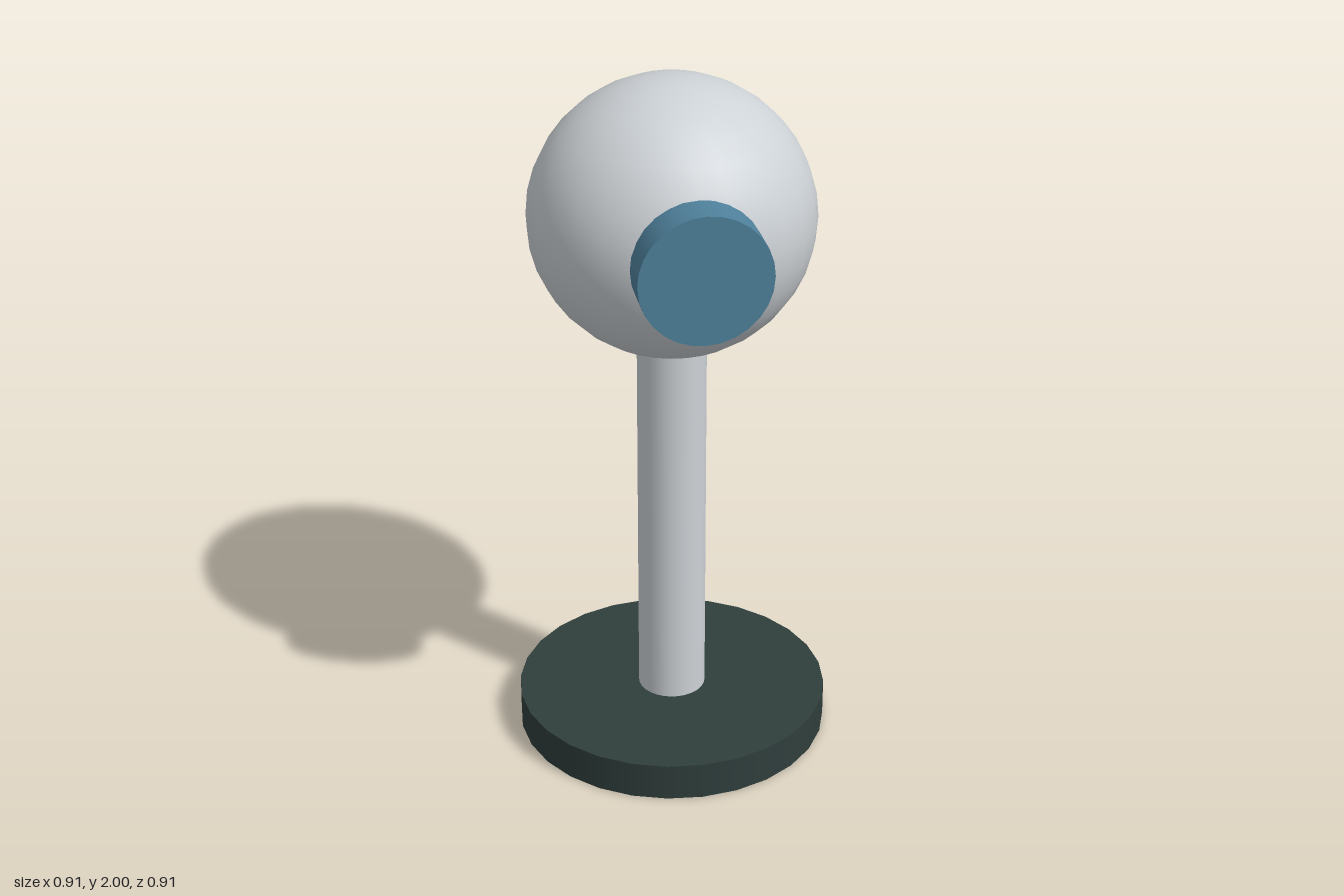
import * as THREE from 'three';

const SIDES = 28;
const AXIS_Z = -0.004; // the post sits slightly behind centre

function material(name, color) {
  const m = new THREE.MeshStandardMaterial({ color });
  m.name = name;
  return m;
}

export function createModel() {
  const group = new THREE.Group();
  const paleGrey = material('paleGrey', 0xcdd2d6);
  const darkGreen = material('darkGreen', 0x2f3e3c);
  const blue = material('blue', 0x4f819c);

  function add(name, geometry, mat, y, z = AXIS_Z) {
    const mesh = new THREE.Mesh(geometry, mat);
    mesh.name = name;
    mesh.position.set(0, y, z);
    group.add(mesh);
    return mesh;
  }

  // Round foot
  add('base', new THREE.CylinderGeometry(0.453, 0.453, 0.11, SIDES), darkGreen, 0.055);

  // Post running from inside the foot into the ball
  add('post', new THREE.CylinderGeometry(0.098, 0.098, 1.3, SIDES), paleGrey, 0.7);

  // Ball head, very slightly flattened
  const ball = new THREE.SphereGeometry(0.398, SIDES, 18);
  ball.scale(1, 0.98, 1);
  add('head', ball, paleGrey, 1.61);

  // Lens barrel facing forward, its back end sunk in the ball
  const barrel = new THREE.CylinderGeometry(0.181, 0.181, 0.164, SIDES);
  barrel.rotateX(Math.PI / 2);
  add('lens', barrel, blue, 1.612, 0.372);

  return group;
}
